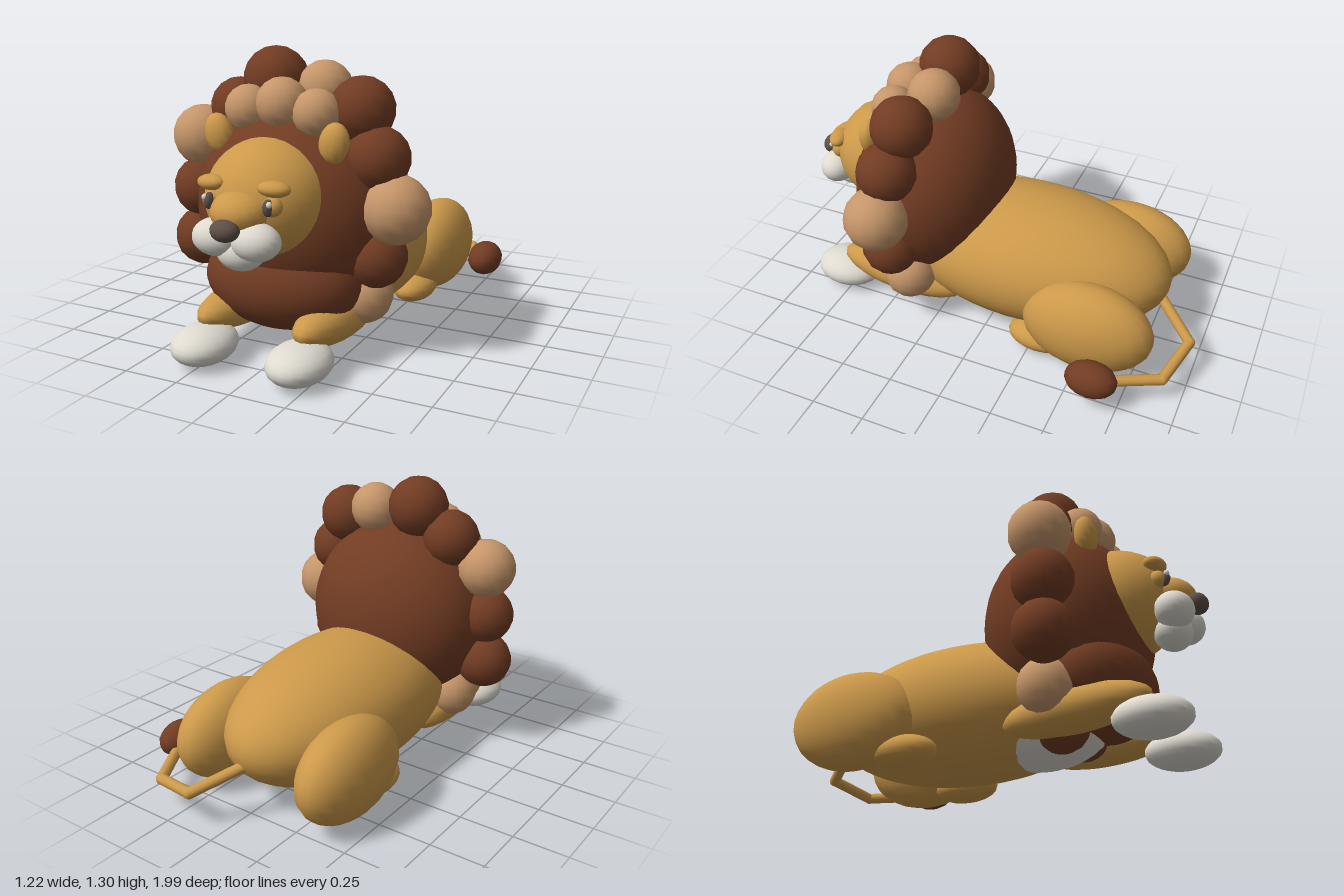
import * as THREE from 'three';

const mat = (name, color) => {
  const m = new THREE.MeshStandardMaterial({ color });
  m.name = name;
  return m;
};

export function createModel() {
  const gold = mat('golden fur', 0xcc994a);
  const brown = mat('dark mane', 0x723c23);
  const tan = mat('light mane', 0xc6966a);
  const white = mat('cream', 0xdedad0);
  const grey = mat('nose grey', 0x5e5048);

  const CX = -0.03; // symmetry plane of the body
  const lion = new THREE.Group();
  lion.name = 'lion';

  // Ellipsoid blob, the building block of every soft part
  const blob = (name, m, [x, y, z], [rx, ry, rz], seg = 24, rot = [0, 0, 0]) => {
    const mesh = new THREE.Mesh(new THREE.SphereGeometry(1, seg, Math.round(seg * 0.67)), m);
    mesh.name = name;
    mesh.position.set(x, y, z);
    mesh.scale.set(rx, ry, rz);
    mesh.rotation.set(...rot);
    lion.add(mesh);
    return mesh;
  };
  // Two blobs mirrored about the body's centre plane
  const pair = (name, m, [dx, y, z], r, seg = 20, [a, b, c] = [0, 0, 0]) => {
    for (const s of [1, -1]) {
      blob((s > 0 ? 'left ' : 'right ') + name, m, [CX + s * dx, y, z], r, seg, [a, s * b, s * c]);
    }
  };

  // Body and belly
  blob('body', gold, [CX, 0.315, -0.12], [0.38, 0.31, 0.7], 36);
  blob('belly', white, [CX, 0.23, 0.22], [0.27, 0.21, 0.33]);

  // Mane core and chest
  blob('maneCore', brown, [CX, 0.62, 0.37], [0.45, 0.45, 0.37], 36);
  blob('chest', brown, [CX, 0.33, 0.5], [0.36, 0.22, 0.24], 28);

  // Mane tufts: x, y, z, radius, material
  [
    [-0.14, 1.16, 0.34, 0.143, brown],
    [0.08, 1.13, 0.31, 0.12, tan],
    [0.28, 1.06, 0.37, 0.14, brown],
    [-0.31, 1.03, 0.36, 0.133, brown],
    [-0.475, 0.9, 0.41, 0.137, tan],
    [-0.475, 0.67, 0.42, 0.135, brown],
    [-0.48, 0.44, 0.42, 0.133, brown],
    [0.37, 0.87, 0.41, 0.137, brown],
    [0.46, 0.67, 0.43, 0.147, tan],
    [0.37, 0.455, 0.42, 0.133, brown],
    [0.295, 0.26, 0.37, 0.125, tan],
    [-0.335, 0.26, 0.37, 0.125, tan],
    [-0.15, 0.165, 0.36, 0.13, brown],
    [0.09, 0.2, 0.37, 0.13, brown],
    [-0.19, 1.05, 0.49, 0.103, tan],
    [CX, 1.08, 0.49, 0.112, tan],
    [0.13, 1.05, 0.49, 0.103, tan],
  ].forEach(([x, y, z, r, m], i) => blob('maneTuft' + (i + 1), m, [x, y, z], [r, r, r], 14));

  // Head and ears
  blob('head', gold, [CX, 0.71, 0.595], [0.27, 0.25, 0.275], 32);
  pair('ear', gold, [0.27, 0.945, 0.555], [0.065, 0.088, 0.05], 14, [0, 0, -0.2]);

  // Muzzle
  blob('snout', gold, [CX, 0.7, 0.825], [0.125, 0.09, 0.125], 20);
  blob('nose', grey, [CX, 0.655, 0.95], [0.062, 0.045, 0.048], 16);
  pair('cheek', white, [0.09, 0.6, 0.87], [0.103, 0.077, 0.085]);
  blob('chin', white, [CX, 0.54, 0.835], [0.103, 0.077, 0.085], 20);

  // Eyes and brows
  pair('eyelid', gold, [0.135, 0.733, 0.82], [0.043, 0.04, 0.04], 14);
  pair('eye', grey, [0.133, 0.735, 0.848], [0.022, 0.035, 0.026], 14);
  pair('eyeGlint', white, [0.146, 0.752, 0.862], [0.012, 0.013, 0.013], 10);
  pair('brow', gold, [0.142, 0.803, 0.815], [0.068, 0.032, 0.045], 16, [0, 0.2, -0.05]);

  // Front legs and paws
  pair('frontLeg', gold, [0.23, 0.17, 0.46], [0.115, 0.095, 0.33], 20, [-0.08, 0, 0]);
  pair('frontPaw', white, [0.226, 0.09, 0.78], [0.133, 0.083, 0.167]);

  // Hind legs
  pair('thigh', gold, [0.33, 0.243, -0.53], [0.158, 0.222, 0.31], 22);
  pair('hindPaw', gold, [0.3, 0.08, -0.3], [0.1, 0.07, 0.16], 18);

  // Bent tail with a tuft
  const path = [[CX, 0.27, -0.76], [0.14, 0.165, -0.97], [0.37, 0.125, -0.91], [0.5, 0.14, -0.67]]
    .map((p) => new THREE.Vector3(...p));
  for (let i = 0; i < 3; i++) {
    const dir = path[i + 1].clone().sub(path[i]);
    const seg = new THREE.Mesh(new THREE.CylinderGeometry(0.025, 0.025, dir.length(), 10), gold);
    seg.name = 'tailSegment' + (i + 1);
    seg.position.copy(path[i]).addScaledVector(dir, 0.5);
    seg.quaternion.setFromUnitVectors(new THREE.Vector3(0, 1, 0), dir.normalize());
    lion.add(seg);
    if (i) blob('tailJoint' + i, gold, path[i].toArray(), [0.026, 0.026, 0.026], 10);
  }
  blob('tailTuft', brown, [0.525, 0.16, -0.63], [0.083, 0.083, 0.12], 14);

  return lion;
}
